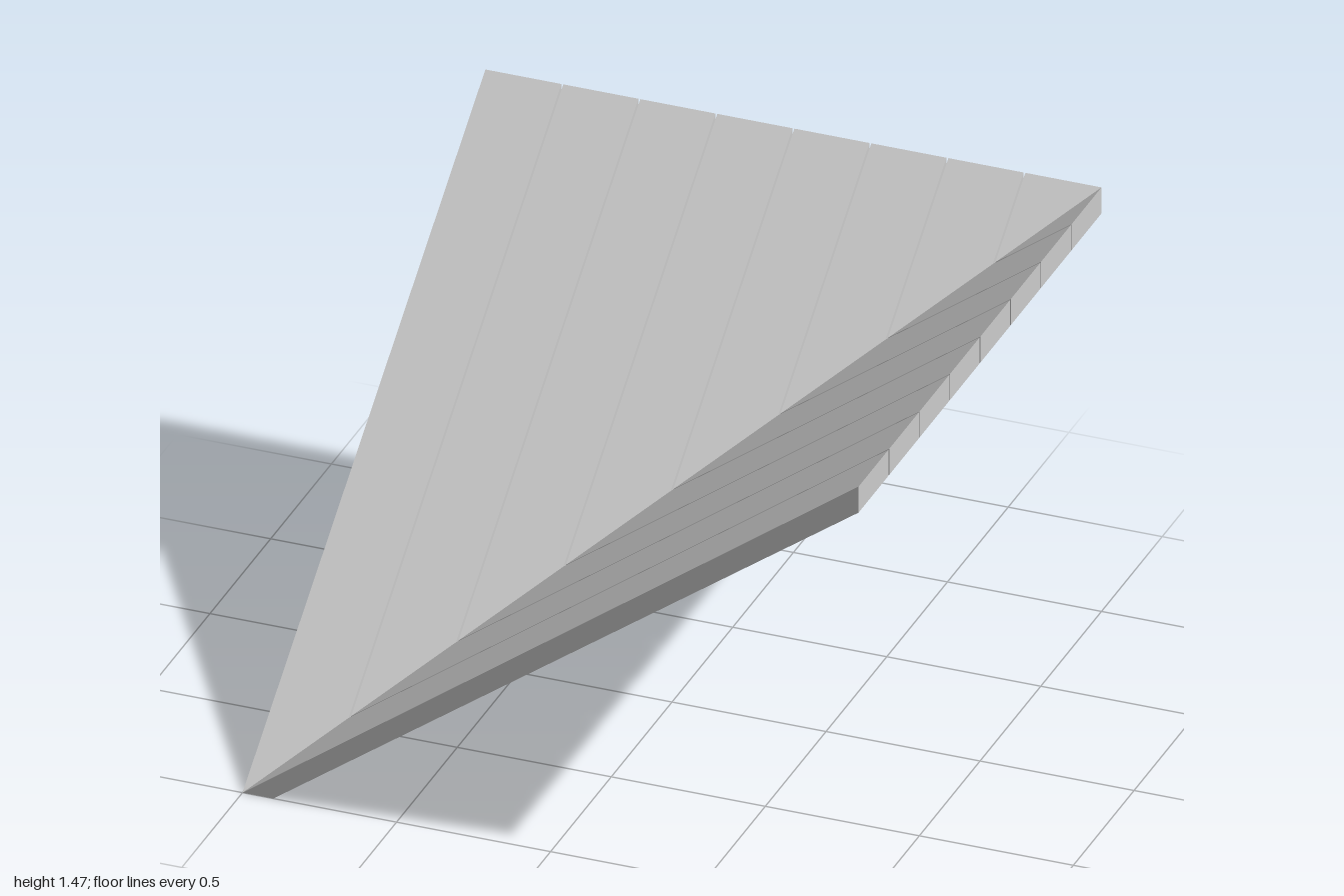
import * as THREE from 'three';

const HEIGHT = 1.465;      // top of the raised edges
const UNDER = 1.375;       // underside at the raised edges
const FOOT = 0.1;          // width of the flat foot at the low corner
const PLANKS = 8;
const GAP = 0.006;

// Plank cross-section at x: top back, top valley, bottom valley, foot kink, bottom back
function section(x) {
  const valley = -x;
  const kink = Math.min(1 - FOOT, valley);
  const under = z => Math.max(0, UNDER * (1 - FOOT - z) / (2 - FOOT));
  return [
    [-1, HEIGHT],
    [valley, HEIGHT * (1 - valley) / 2],
    [valley, under(valley)],
    [kink, under(kink)],
    [-1, UNDER],
  ].map(([z, y]) => new THREE.Vector3(x, y, z));
}

// Joins cross-sections at the given x stations; mirrored swaps across the valley
function plankGeometry(stations, mirrored) {
  const rings = stations.map(section);
  const positions = [];
  const tri = (a, b, c) => {
    if (new THREE.Triangle(a, b, c).getArea() < 1e-8) return;
    const corners = mirrored ? [a, c, b] : [a, b, c];
    for (const p of corners) {
      if (mirrored) positions.push(-p.z, p.y, -p.x);
      else positions.push(p.x, p.y, p.z);
    }
  };
  // long faces
  for (let i = 0; i < rings.length - 1; i++) {
    const a = rings[i], b = rings[i + 1];
    for (let j = 0; j < a.length; j++) {
      const k = (j + 1) % a.length;
      tri(a[j], a[k], b[k]);
      tri(a[j], b[k], b[j]);
    }
  }
  // side faces
  const first = rings[0], last = rings[rings.length - 1];
  for (let j = 1; j < first.length - 1; j++) {
    tri(first[0], first[j + 1], first[j]);
    tri(last[0], last[j], last[j + 1]);
  }
  const geometry = new THREE.BufferGeometry();
  geometry.setAttribute('position', new THREE.Float32BufferAttribute(positions, 3));
  geometry.computeVertexNormals();
  return geometry;
}

export function createModel() {
  const model = new THREE.Group();
  model.name = 'valleyRoofCorner';
  const material = new THREE.MeshStandardMaterial({ color: 0xcccccc, flatShading: true });

  // two sloping planked surfaces that meet in a diagonal valley
  for (const mirrored of [false, true]) {
    const slope = new THREE.Group();
    slope.name = mirrored ? 'leftSlope' : 'backSlope';
    const width = 2 / PLANKS;
    for (let i = 0; i < PLANKS; i++) {
      const x0 = -1 + i * width + (i > 0 ? GAP / 2 : 0);
      const x1 = -1 + (i + 1) * width - (i < PLANKS - 1 ? GAP / 2 : 0);
      const stations = i === 0 ? [x0, -1 + FOOT, x1] : [x0, x1];
      const plank = new THREE.Mesh(plankGeometry(stations, mirrored), material);
      plank.name = `plank${i + 1}`;
      slope.add(plank);
    }
    model.add(slope);
  }
  return model;
}
